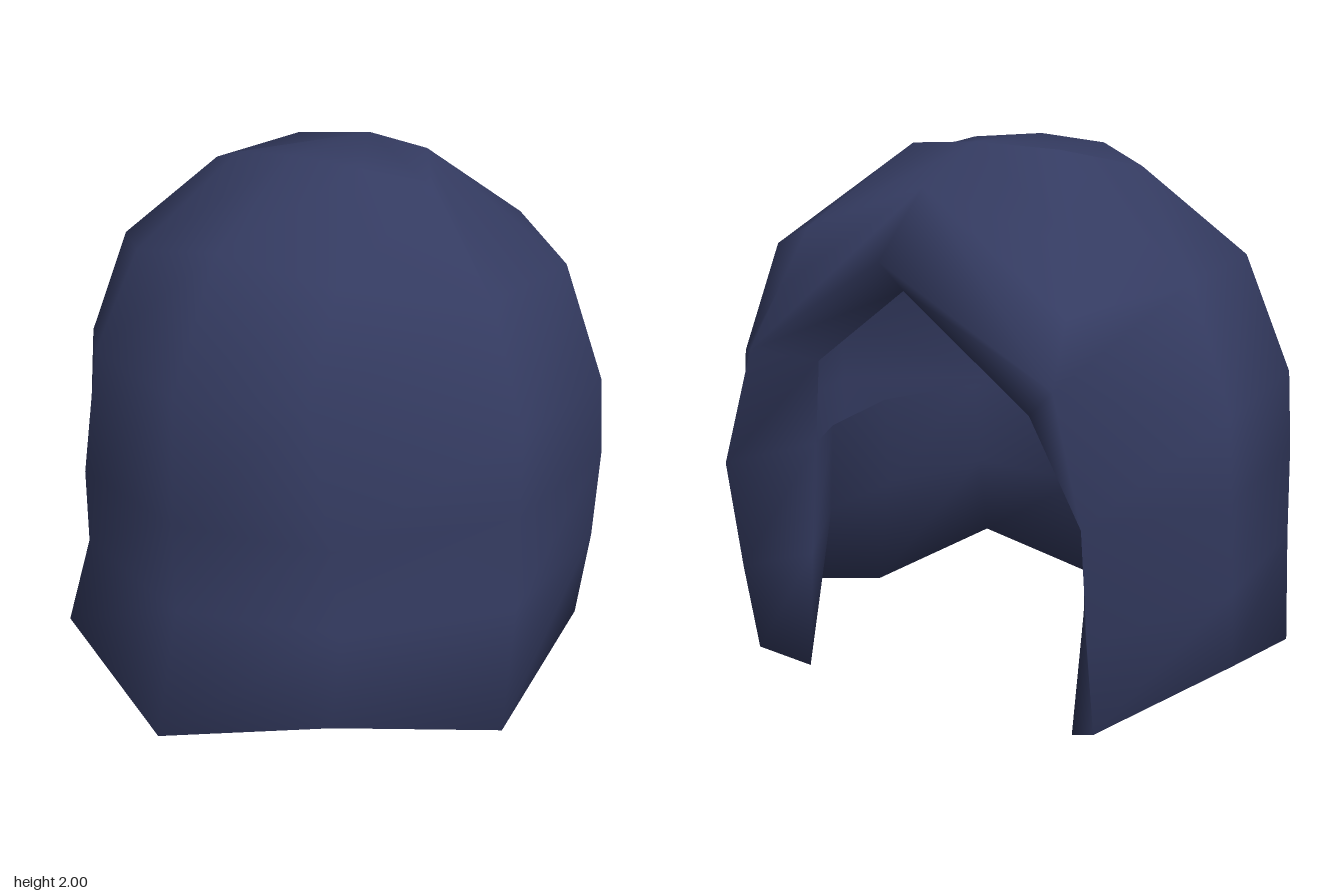
import * as THREE from 'three';

// One half of the shell, from the centre of the back (first) to the face opening (last).
// Each column runs from the inner wall's top down to the hem, then up the outside to the crown.
const COLUMNS = [
  [[-0.49, 0.88, 0], [-0.52, 0.52, 0], [-0.72, 0, 0], [-0.94, 0.1, 0], [-0.82, 0.54, 0],
    [-0.82, 0.87, 0], [-0.79, 1.31, 0], [-0.55, 1.74, 0], [-0.13, 1.99, 0]],
  [[-0.4, 0.92, 0.44], [-0.43, 0.57, 0.44], [-0.58, 0.19, 0.49], [-0.75, 0.27, 0.6], [-0.65, 0.57, 0.57],
    [-0.675, 0.87, 0.54], [-0.67, 1.35, 0.45], [-0.47, 1.67, 0.42], [-0.1, 1.97, 0.26]],
  [[0.03, 0.94, 0.61], [0, 0.57, 0.63], [-0.17, 0.05, 0.8], [-0.26, 0.13, 0.98], [-0.2, 0.58, 0.975],
    [-0.2, 0.92, 0.965], [-0.18, 1.2, 0.95], [-0.13, 1.61, 0.79], [0.03, 1.91, 0.46]],
  [[0.4, 0.94, 0.6], [0.39, 0.6, 0.63], [0.33, 0.25, 0.81], [0.35, 0.3, 0.96], [0.42, 0.6, 0.97],
    [0.46, 0.92, 0.965], [0.45, 1.2, 0.945], [0.42, 1.61, 0.79], [0.3, 1.98, 0.28]],
  [[0.6, 0.94, 0.53], [0.64, 0.53, 0.54], [0.7, 0.11, 0.53], [0.82, 0.21, 0.66], [0.88, 0.55, 0.66],
    [0.935, 0.95, 0.66], [0.905, 1.35, 0.55], [0.765, 1.535, 0.525], [0.625, 1.72, 0.5]],
];
const ROWS = 9, LAST = 4, TOP = ROWS - 1;

function shellGeometry() {
  const points = [], index = [];
  const add = (p) => points.push(p) - 1;
  const tri = (flip, a, b, c) => index.push(...(flip ? [a, c, b] : [a, b, c]));
  const quad = (flip, a, b, c, d) => { tri(flip, a, b, c); tri(flip, a, c, d); };

  // Mirrored columns wrap from one side of the opening, round the back, to the other
  for (let c = -LAST; c <= LAST; c++) {
    for (const [x, y, z] of COLUMNS[Math.abs(c)]) add([x, y, c < 0 ? -z : z]);
  }
  const id = (c, r) => (c + LAST) * ROWS + r;
  for (let c = -LAST; c < LAST; c++) {
    for (let r = 0; r < TOP; r++) {
      quad(false, id(c, r), id(c + 1, r), id(c + 1, r + 1), id(c, r + 1));
    }
  }

  // Shared points of the crown and the off-centre brow peak
  const crown = add([0.36, 2, 0]);
  const forehead = add([0.7, 1.89, 0]);
  const peak = add([0.75, 1.65, 0.14]);
  const innerPeak = add([0.61, 1.53, 0.14]);

  for (const s of [1, -1]) {
    const flip = s < 0;
    // Crown cap
    for (let c = 0; c < LAST; c++) tri(flip, crown, id(s * c, TOP), id(s * (c + 1), TOP));
    tri(flip, crown, id(s * LAST, TOP), forehead);
    // Front of the brow
    for (let r = TOP; r > 6; r--) tri(flip, forehead, id(s * LAST, r), id(s * LAST, r - 1));
    tri(flip, forehead, id(s * LAST, 6), peak);
    // Thick rim turning into the face opening
    const innerCorner = add(s > 0 ? [0.67, 1.27, 0.45] : [0.74, 1.21, -0.39]);
    const outer = [3, 4, 5, 6].map((r) => id(s * LAST, r)).concat(peak);
    const inner = [2, 1, 0].map((r) => id(s * LAST, r)).concat(innerCorner, innerPeak);
    for (let k = 0; k < 4; k++) quad(flip, outer[k], inner[k], inner[k + 1], outer[k + 1]);
  }

  const geometry = new THREE.BufferGeometry();
  geometry.setAttribute('position', new THREE.Float32BufferAttribute(points.flat(), 3));
  geometry.setIndex(index);
  geometry.computeVertexNormals();
  return geometry;
}

export function createModel() {
  const group = new THREE.Group();
  group.name = 'hair';
  const navy = new THREE.MeshStandardMaterial({ color: 0x343b61, side: THREE.DoubleSide });
  navy.name = 'navy';
  const shell = new THREE.Mesh(shellGeometry(), navy);
  shell.name = 'hairShell';
  group.add(shell);
  return group;
}
